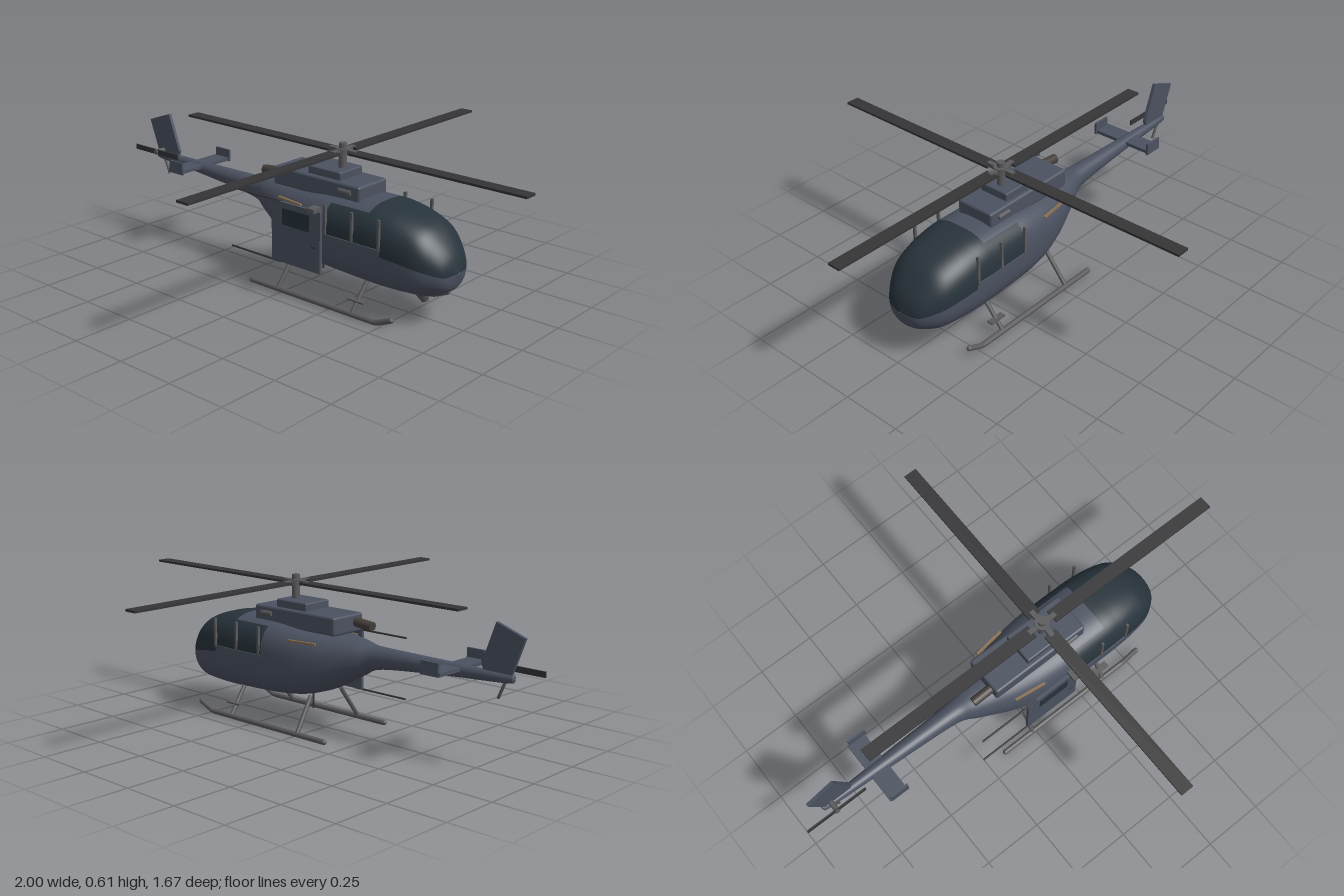
import * as THREE from 'three';
import { RoundedBoxGeometry } from 'three/addons/geometries/RoundedBoxGeometry.js';

const mat = (color) => new THREE.MeshStandardMaterial({ color });
const paint = mat(0x4b5160), glass = mat(0x27333b), dark = mat(0x353537);
const metal = mat(0x5a5a5c), brass = mat(0x8a7050), soot = mat(0x453f3b);
const V = (x, y, z) => new THREE.Vector3(x, y, z);

export function createModel() {
  const root = new THREE.Group();
  const add = (name, geo, m, x = 0, y = 0, z = 0) => {
    const mesh = new THREE.Mesh(geo, m);
    mesh.name = name;
    mesh.position.set(x, y, z);
    root.add(mesh);
    return mesh;
  };
  const box = (name, m, w, h, d, x, y, z) => add(name, new THREE.BoxGeometry(w, h, d), m, x, y, z);
  const rod = (name, m, a, b, r, sides = 10) => {
    const mesh = add(name, new THREE.CylinderGeometry(r, r, a.distanceTo(b), sides), m);
    mesh.position.copy(a).lerp(b, 0.5);
    mesh.quaternion.setFromUnitVectors(V(0, 1, 0), b.clone().sub(a).normalize());
    return mesh;
  };

  // Fuselage and tail boom: superellipse sections [x, top, bottom, half width, exponent]
  const keys = [
    [-0.905, 0.362, 0.358, 0.002, 2], [-0.9, 0.375, 0.345, 0.013, 2],
    [-0.6, 0.378, 0.322, 0.028, 2], [-0.28, 0.381, 0.288, 0.045, 2.1],
    [-0.2, 0.393, 0.248, 0.075, 2.2], [-0.04, 0.41, 0.165, 0.13, 2.5],
    [0.08, 0.422, 0.132, 0.155, 2.7], [0.205, 0.43, 0.12, 0.165, 2.8],
    [0.39, 0.432, 0.112, 0.165, 2.8], [0.475, 0.424, 0.11, 0.163, 2.7],
    [0.6, 0.387, 0.113, 0.146, 2.5], [0.66, 0.337, 0.128, 0.115, 2.3],
    [0.702, 0.28, 0.155, 0.072, 2.1], [0.722, 0.225, 0.219, 0.003, 2],
  ];
  const SUB = 6, N = 96;
  const rows = (keys.length - 1) * SUB;
  const pos = [], hull = [], canopy = [];
  for (let i = 0; i <= rows; i++) {
    const k = Math.min(Math.floor(i / SUB), keys.length - 2), t = i / SUB - k;
    const at = (j) => keys[Math.max(0, Math.min(keys.length - 1, j))];
    const [x, top, bot, hw, n] = keys[0].map((_, c) => {
      const [a, b, d, e] = [k - 1, k, k + 1, k + 2].map((j) => at(j)[c]);
      // limited tangents keep the long boom from overshooting
      const lim = (p, q) => (p * q <= 0 ? 0 : (2 * p * q) / (p + q));
      const m0 = k === 0 ? d - b : lim(b - a, d - b);
      const m1 = k === keys.length - 2 ? d - b : lim(d - b, e - d);
      const t2 = t * t, t3 = t2 * t;
      return (2 * t3 - 3 * t2 + 1) * b + (t3 - 2 * t2 + t) * m0 + (3 * t2 - 2 * t3) * d + (t3 - t2) * m1;
    });
    for (let j = 0; j < N; j++) {
      const a = (j / N) * Math.PI * 2, c = Math.cos(a), s = Math.sin(a);
      const p = (v) => Math.sign(v) * Math.pow(Math.abs(v), 2 / n);
      pos.push(x, (top + bot) / 2 + ((top - bot) / 2) * p(s), hw * p(c));
    }
  }
  for (let i = 0; i < rows; i++) {
    for (let j = 0; j < N; j++) {
      const a = i * N + j, d = i * N + ((j + 1) % N), b = a + N, c = d + N;
      const side = Math.min(j, N / 2 - 1 - j); // steps up from the waistline
      const isGlass = (i >= 7 * SUB && side >= 1 && side < 14) || (i >= 8 * SUB && side >= 1) || (i >= 9 * SUB && side >= 0);
      (isGlass ? canopy : hull).push(a, b, d, b, c, d);
    }
  }
  const full = new THREE.BufferGeometry();
  full.setAttribute('position', new THREE.Float32BufferAttribute(pos, 3));
  full.setIndex([...hull, ...canopy]);
  full.computeVertexNormals();
  const part = (index) => {
    const g = new THREE.BufferGeometry();
    g.setAttribute('position', full.attributes.position);
    g.setAttribute('normal', full.attributes.normal);
    g.setIndex(index);
    return g;
  };
  add('fuselage', part(hull), paint);
  add('canopy', part(canopy), glass);

  // Engine cowling, mast fairing and exhaust
  add('engineCowling', new RoundedBoxGeometry(0.44, 0.075, 0.17, 2, 0.01), paint, 0.095, 0.443, 0);
  add('mastFairing', new RoundedBoxGeometry(0.165, 0.045, 0.134, 2, 0.006), paint, 0.125, 0.49, 0);
  rod('exhaust', soot, V(-0.21, 0.439, 0.045), V(-0.115, 0.448, 0.045), 0.019, 16);
  for (const s of [1, -1]) rod('cowlingVent', metal, V(0.215, 0.45, s * 0.083), V(0.275, 0.45, s * 0.083), 0.011);

  // Main rotor
  const RX = 0.163, RY = 0.578;
  rod('mast', metal, V(RX, 0.5, 0), V(RX, 0.61, 0), 0.016, 16);
  add('rotorHub', new THREE.CylinderGeometry(0.03, 0.03, 0.026, 16), metal, RX, RY, 0);
  for (let i = 0; i < 4; i++) {
    const arm = new THREE.Group();
    arm.name = 'mainRotorBlade';
    arm.position.set(RX, RY, 0);
    arm.rotation.y = (i * Math.PI) / 2;
    const blade = new THREE.Mesh(new THREE.BoxGeometry(0.787, 0.009, 0.055), dark);
    blade.position.x = 0.4415;
    const grip = new THREE.Mesh(new THREE.BoxGeometry(0.06, 0.018, 0.02), metal);
    grip.position.x = 0.035;
    arm.add(blade, grip);
    root.add(arm);
  }

  // Sliding door with its window, rails and bracket
  box('slidingDoor', paint, 0.25, 0.25, 0.012, 0.08, 0.257, 0.176);
  box('doorWindow', glass, 0.14, 0.068, 0.003, 0.083, 0.325, 0.183);
  box('doorHandle', dark, 0.022, 0.007, 0.006, 0.175, 0.235, 0.184);
  box('doorBracket', metal, 0.035, 0.018, 0.045, 0.18, 0.39, 0.187);
  for (const y of [0.132, 0.382]) rod('doorRail', dark, V(-0.27, y, 0.178), V(0.0, y, 0.178), 0.004, 8);

  for (const s of [1, -1]) {
    // Side window frame
    for (const x of [0.215, 0.345, 0.472]) box('windowPost', metal, 0.01, 0.118, 0.01, x, 0.352, s * 0.164);
    box('windowSill', paint, 0.27, 0.008, 0.01, 0.342, 0.291, s * 0.164);

    // Brass trim along the shoulder
    const trim = box('shoulderTrim', brass, 0.135, 0.008, 0.01, 0.005, 0.372, s * 0.131);
    trim.rotation.y = -s * 0.13;

    // Landing skid with struts and step
    const run = new THREE.CurvePath();
    const pts = [V(-0.16, 0.012, s * 0.18), V(0.48, 0.012, s * 0.18), V(0.55, 0.042, s * 0.18)];
    run.add(new THREE.LineCurve3(pts[0], pts[1]));
    run.add(new THREE.LineCurve3(pts[1], pts[2]));
    add('skid', new THREE.TubeGeometry(run, 40, 0.011, 10), metal);
    pts.filter((_, i) => i !== 1).forEach((p) => add('skidEnd', new THREE.SphereGeometry(0.011, 10, 6), metal, p.x, p.y, p.z));
    rod('rearStrut', metal, V(-0.004, 0.15, s * 0.088), V(-0.016, 0.015, s * 0.18), 0.009);
    rod('frontStrut', metal, V(0.372, 0.14, s * 0.088), V(0.364, 0.015, s * 0.18), 0.009);
    box('step', metal, 0.075, 0.006, 0.028, 0.37, 0.062, s * 0.153);

    // Stabilizer end plate
    box('stabilizerEndPlate', paint, 0.08, 0.052, 0.009, -0.638, 0.379, s * 0.138);
  }
  box('stabilizer', paint, 0.08, 0.014, 0.28, -0.645, 0.362, 0);

  // Tail fin and tail guard
  const fin = new THREE.Shape([[-0.885, 0.35], [-0.775, 0.37], [-0.765, 0.397], [-0.823, 0.555], [-0.945, 0.512]]
    .map(([x, y]) => new THREE.Vector2(x, y)));
  add('tailFin', new THREE.ExtrudeGeometry(fin, { depth: 0.014, bevelEnabled: false }), paint, 0, 0, -0.007);
  rod('tailGuard', metal, V(-0.872, 0.36, 0), V(-0.837, 0.28, 0), 0.006, 8);

  // Tail rotor
  rod('tailRotorHub', metal, V(-0.865, 0.385, 0), V(-0.865, 0.385, 0.056), 0.011);
  box('tailRotorBlades', dark, 0.27, 0.022, 0.006, -0.865, 0.385, 0.047);

  // Nose sensor and belly antenna
  const sensor = add('noseSensor', new THREE.CylinderGeometry(0.03, 0.012, 0.034, 14), metal, 0.592, 0.102, 0.035);
  sensor.rotation.z = 0.3;
  rod('bellyAntenna', dark, V(0.067, 0.068, 0), V(0.067, 0.14, 0), 0.004, 8);

  return root;
}
